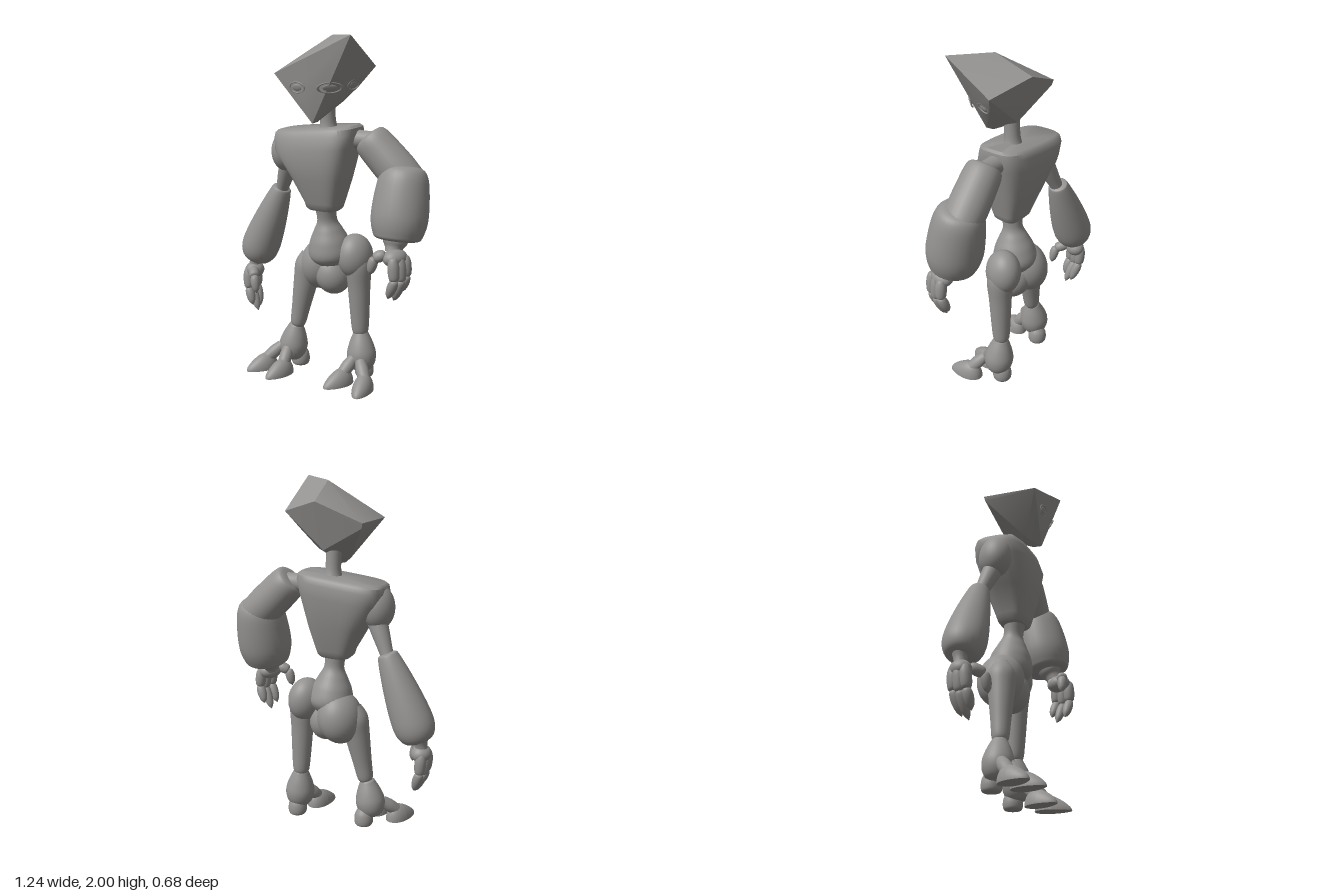
import * as THREE from 'three';
import { toCreasedNormals } from 'three/addons/utils/BufferGeometryUtils.js';
import { ConvexGeometry } from 'three/addons/geometries/ConvexGeometry.js';

const V = (p) => new THREE.Vector3(...p);
const UP = new THREE.Vector3(0, 1, 0);

export function createModel() {
  const model = new THREE.Group();
  const clay = new THREE.MeshStandardMaterial({ color: 0x949290 });
  clay.name = 'warm grey clay';

  const add = (name, geo, parent = model) => {
    const mesh = new THREE.Mesh(geo, clay);
    mesh.name = name;
    parent.add(mesh);
    return mesh;
  };

  // Turned body running from one point to another; profile rows are [fraction, radius]
  const limb = (name, from, to, profile, parent) => {
    const a = V(from), b = V(to), len = a.distanceTo(b);
    const curve = new THREE.SplineCurve(profile.map(([t, r]) => new THREE.Vector2(r, t * len)));
    const pts = curve.getPoints(profile.length * 5).map((p) => new THREE.Vector2(Math.max(p.x, 0), p.y));
    const mesh = add(name, new THREE.LatheGeometry(pts, 28), parent);
    mesh.position.copy(a);
    mesh.quaternion.setFromUnitVectors(UP, b.sub(a).normalize());
    return mesh;
  };

  const blob = (name, centre, radii, tilt = 0, parent = model) => {
    const mesh = add(name, new THREE.SphereGeometry(1, 32, 22), parent);
    mesh.position.set(...centre);
    mesh.scale.set(...radii);
    mesh.rotation.z = tilt;
    return mesh;
  };

  // Stacked rounded-box sections, listed from the top: [y, x, z, halfWidth, halfDepth]
  const loft = (rings, n, power, yaw, warp) => {
    const pos = [], idx = [];
    const bend = (v) => Math.sign(v) * Math.abs(v) ** power;
    rings.forEach(([y, cx, cz, w, d], j) => {
      for (let i = 0; i < n; i++) {
        const t = (i / n) * Math.PI * 2;
        const p = new THREE.Vector3(bend(Math.cos(t)) * w, 0, bend(Math.sin(t)) * d).applyAxisAngle(UP, yaw);
        pos.push(cx + p.x, y + warp(p, y), cz + p.z);
        if (j < rings.length - 1) {
          const a = j * n + i, b = j * n + ((i + 1) % n);
          idx.push(a, b, a + n, b, b + n, a + n);
        }
      }
    });
    const geo = new THREE.BufferGeometry();
    geo.setAttribute('position', new THREE.Float32BufferAttribute(pos, 3));
    geo.setIndex(idx);
    return toCreasedNormals(geo, 0.7);
  };

  // Faceted head, turned towards the model's left
  const head = new THREE.Group();
  head.name = 'head';
  model.add(head);
  const skull = add('skull', toCreasedNormals(new ConvexGeometry([
    [0.335, 2.0, 0.085], [0.09, 1.995, 0.005], [0.24, 1.83, -0.18], [-0.01, 1.905, -0.19],
    [-0.235, 1.8, -0.06], [-0.225, 1.77, -0.055], [-0.12, 1.79, 0.24], [0.03, 1.72, 0.19],
    [0.14, 1.72, 0.148], [0.205, 1.73, 0.02], [0.075, 1.525, 0.13], [0.06, 1.53, 0.08],
    [-0.015, 1.57, 0.08], [0.19, 1.72, -0.1], [0.09, 1.63, -0.07], [0.02, 1.63, -0.1], [-0.05, 1.63, -0.03],
  ].map(V)), 0.5), head);

  // Three almond eyes set on the front facets
  const caster = new THREE.Raycaster();
  [
    [[0.02, 1.72, 0.19], [0.35, -0.3, 1], 0.046],
    [[0.17, 1.73, 0.09], [0.88, -0.4, 0.47], 0.066],
    [[0.2, 1.735, -0.055], [1, -0.4, -0.1], 0.043],
  ].forEach(([at, dir, w]) => {
    const n = V(dir).normalize();
    caster.set(V(at).addScaledVector(n, 0.5), n.clone().negate());
    const hit = caster.intersectObject(skull)[0];
    const eye = new THREE.Group();
    eye.name = 'eye';
    eye.position.copy(hit ? hit.point : V(at));
    eye.lookAt(eye.position.clone().add(n));
    const rim = add('eyeRim', new THREE.TorusGeometry(1, 0.12, 8, 28), eye);
    rim.scale.set(w, 0.03, 0.03);
    blob('eyeball', [0, 0, 0], [w * 0.62, 0.019, 0.005], 0, eye);
    head.add(eye);
  });

  limb('neck', [0.01, 1.44, -0.04], [0.01, 1.66, -0.025], [[0, 0.07], [0.35, 0.045], [1, 0.045]]);

  // Wedge torso, yawed left and sloping at the shoulders
  add('torso', loft([
    [1.485, -0.055, -0.02, 0, 0], [1.485, -0.055, -0.02, 0.237, 0.122], [1.472, -0.055, -0.02, 0.252, 0.14],
    [1.44, -0.055, -0.02, 0.256, 0.15], [1.37, -0.048, -0.01, 0.238, 0.163], [1.2, -0.02, -0.015, 0.165, 0.13],
    [1.06, 0, -0.02, 0.108, 0.09], [1.03, 0, -0.02, 0.1, 0.08], [1.015, 0, -0.02, 0.085, 0.066],
    [1.015, 0, -0.02, 0, 0],
  ], 48, 0.56, 0.35, (p, y) => (y > 1.3 ? 0.08 * p.x - 0.06 * p.z : 0)));

  // Waist and hips
  const hips = new THREE.Group();
  hips.name = 'hips';
  model.add(hips);
  limb('waist', [0.005, 0.66, -0.07], [0.005, 1.05, -0.02],
    [[0, 0.05], [0.2, 0.125], [0.42, 0.116], [0.6, 0.084], [0.76, 0.057], [1, 0.066]], hips);
  blob('rightHip', [-0.07, 0.67, -0.06], [0.123, 0.155, 0.138], -0.2, hips);
  blob('leftHip', [0.135, 0.745, -0.135], [0.096, 0.13, 0.112], 0.1, hips);
  blob('groin', [0.02, 0.63, -0.065], [0.105, 0.125, 0.11], 0.4, hips);

  // Legs
  limb('rightLeg', [-0.115, 0.74, -0.01], [-0.187, 0.25, 0.045],
    [[0, 0.05], [0.15, 0.08], [0.35, 0.074], [0.7, 0.056], [0.9, 0.047], [0.96, 0.035], [1, 0.033]]);
  limb('leftLeg', [0.16, 0.78, -0.135], [0.165, 0.25, -0.157],
    [[0, 0.05], [0.15, 0.075], [0.4, 0.066], [0.7, 0.057], [0.9, 0.049], [0.96, 0.036], [1, 0.034]]);

  // Toe: a flat-soled teardrop, tall at the back and pointed in front
  const toeGeo = new THREE.SphereGeometry(1, 28, 20);
  const tp = toeGeo.attributes.position;
  for (let i = 0; i < tp.count; i++) {
    const z = tp.getZ(i);
    tp.setXYZ(i, tp.getX(i) * (1 - 0.22 * z), Math.max(0, tp.getY(i)) * (1 - 0.45 * z), z);
  }
  toeGeo.computeVertexNormals();

  const foot = (name, ankle, block, heel, toes) => {
    const g = new THREE.Group();
    g.name = name;
    model.add(g);
    limb('ankle', block, ankle,
      [[0, 0], [0.04, 0.05], [0.2, 0.078], [0.42, 0.086], [0.65, 0.073], [0.88, 0.05], [0.97, 0.036], [1, 0]], g);
    limb('heel', [heel[0], 0.005, heel[1]], [heel[0], 0.11, heel[1]],
      [[0, 0], [0.02, 0.045], [0.3, 0.056], [0.7, 0.05], [1, 0.03]], g);
    toes.forEach(([bx, bz, x, z, yaw, len]) => {
      const toe = add('toe', toeGeo, g);
      toe.position.set(x, 0.004, z);
      toe.rotation.y = yaw;
      toe.scale.set(0.057, 0.085, len);
      limb('toeJoint', [bx, 0.14, bz], [x - Math.sin(yaw) * 0.04, 0.065, z - Math.cos(yaw) * 0.04],
        [[0, 0.03], [0.5, 0.038], [1, 0.035]], g);
    });
  };
  foot('rightFoot', [-0.19, 0.285, 0.045], [-0.225, 0.05, 0.06], [-0.205, 0.005],
    [[-0.25, 0.11, -0.297, 0.232, -0.12, 0.103], [-0.19, 0.11, -0.155, 0.208, 0.12, 0.103]]);
  foot('leftFoot', [0.165, 0.295, -0.157], [0.19, 0.05, -0.15], [0.175, -0.18],
    [[0.18, -0.09, 0.173, 0.024, 0.0, 0.105], [0.24, -0.09, 0.333, -0.02, 0.5, 0.105]]);

  // Right arm, hanging down and out
  blob('rightShoulder', [-0.25, 1.335, 0.055], [0.088, 0.125, 0.1], -0.1);
  limb('rightUpperArm', [-0.24, 1.29, 0.045], [-0.36, 1.05, 0.03], [[0, 0.06], [0.4, 0.05], [0.8, 0.038], [1, 0.036]]);
  limb('rightForearm', [-0.345, 1.1, 0.027], [-0.547, 0.615, 0.092],
    [[0, 0], [0.01, 0.045], [0.06, 0.062], [0.35, 0.092], [0.65, 0.113], [0.83, 0.115], [0.94, 0.095], [0.99, 0.06], [1, 0]]);
  limb('rightWrist', [-0.545, 0.65, 0.09], [-0.553, 0.56, 0.1], [[0, 0.05], [0.5, 0.036], [1, 0.034]]);

  // Left arm, thick and bent at the elbow
  limb('leftShoulderPeg', [0.12, 1.43, -0.1], [0.3, 1.43, -0.16], [[0, 0.058], [0.5, 0.05], [1, 0.05]]);
  limb('leftUpperArm', [0.235, 1.45, -0.135], [0.49, 1.17, -0.25],
    [[0, 0], [0.01, 0.075], [0.08, 0.1], [0.3, 0.108], [0.7, 0.11], [0.92, 0.09], [1, 0]]);
  limb('leftForearm', [0.44, 1.31, -0.222], [0.466, 0.9, -0.145],
    [[0, 0], [0.03, 0.09], [0.14, 0.131], [0.4, 0.151], [0.7, 0.157], [0.9, 0.139], [0.98, 0.11], [1, 0]]);
  limb('leftWrist', [0.465, 0.93, -0.14], [0.478, 0.845, -0.105], [[0, 0.075], [0.4, 0.066], [0.7, 0.05], [1, 0.045]]);

  // Hands: palm, then two-jointed digits given as knuckle, middle and tip
  const hand = (name, palm, radii, digits) => {
    const g = new THREE.Group();
    g.name = name;
    model.add(g);
    blob('palm', palm, radii, 0, g);
    digits.forEach(([a, b, c]) => {
      limb('fingerBase', a, b, [[0, 0], [0.05, 0.02], [0.4, 0.032], [0.9, 0.027], [1, 0]], g);
      limb('fingerTip', b, c, [[-0.12, 0], [0, 0.022], [0.35, 0.028], [0.75, 0.02], [1, 0]], g);
    });
  };
  hand('rightHand', [-0.55, 0.545, 0.1], [0.055, 0.05, 0.062], [
    [[-0.575, 0.56, 0.07], [-0.565, 0.43, 0.07], [-0.515, 0.31, 0.085]],
    [[-0.575, 0.56, 0.105], [-0.56, 0.42, 0.11], [-0.495, 0.29, 0.115]],
    [[-0.565, 0.56, 0.14], [-0.55, 0.43, 0.145], [-0.51, 0.33, 0.145]],
    [[-0.52, 0.565, 0.13], [-0.45, 0.535, 0.172], [-0.425, 0.435, 0.175]],
  ]);
  hand('leftHand', [0.505, 0.825, -0.095], [0.058, 0.05, 0.075], [
    [[0.54, 0.84, -0.045], [0.55, 0.71, -0.05], [0.5, 0.6, -0.05]],
    [[0.54, 0.84, -0.095], [0.55, 0.7, -0.1], [0.49, 0.575, -0.105]],
    [[0.535, 0.84, -0.14], [0.545, 0.72, -0.145], [0.5, 0.62, -0.15]],
    [[0.48, 0.85, -0.05], [0.43, 0.82, -0.01], [0.41, 0.725, 0.0]],
  ]);

  return model;
}
